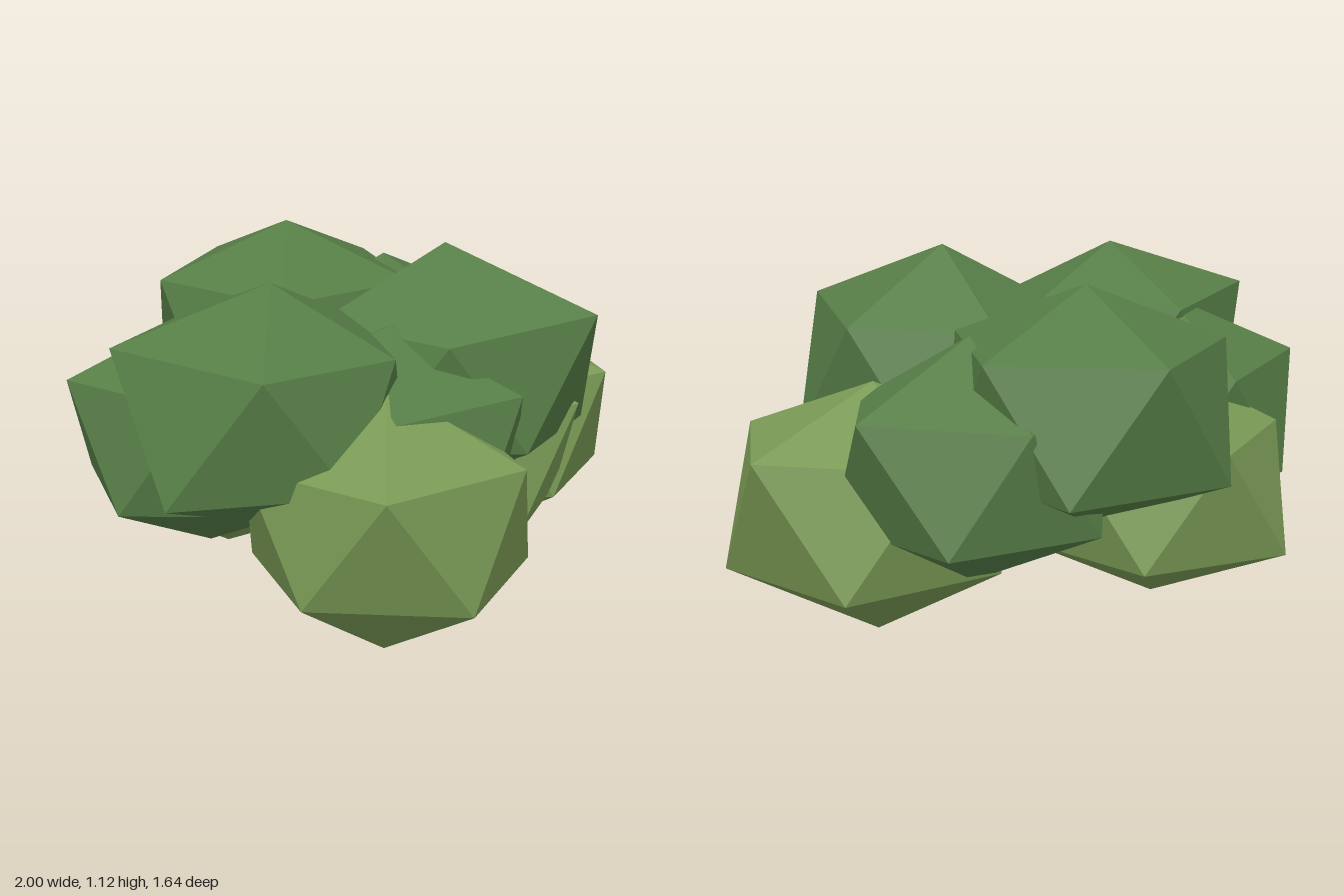
import * as THREE from 'three';

const darkLeaf = new THREE.MeshStandardMaterial({ color: 0x567d46 });
darkLeaf.name = 'dark leaf green';
const lightLeaf = new THREE.MeshStandardMaterial({ color: 0x7a9a55 });
lightLeaf.name = 'light leaf green';

const RING_SLOPE = 0.43; // ring height relative to ring radius

// Irregular twenty-sided clump: two poles and two staggered rings of five corners.
// top, bottom: pole heights; upper, lower: corner radii around each ring.
function clumpGeometry(top, bottom, upper, lower) {
  const points = [0, top, 0];
  const ring = (radii, offset, sign) => radii.forEach((r, i) => {
    const a = THREE.MathUtils.degToRad(i * 72 + offset);
    points.push(r * Math.cos(a), sign * RING_SLOPE * r, r * Math.sin(a));
  });
  ring(upper, 0, 1);
  ring(lower, 36, -1);
  points.push(0, -bottom, 0);

  const faces = [];
  for (let i = 0; i < 5; i++) {
    const n = (i + 1) % 5;
    const u = 1 + i, un = 1 + n, l = 6 + i, ln = 6 + n;
    faces.push(0, un, u, u, un, l, l, un, ln, l, ln, 11);
  }
  const indexed = new THREE.BufferGeometry();
  indexed.setAttribute('position', new THREE.Float32BufferAttribute(points, 3));
  indexed.setIndex(faces);
  const geometry = indexed.toNonIndexed(); // separate corners give flat facets
  geometry.computeVertexNormals();
  return geometry;
}

// Upper rings run 0, 72, 144, 216, 288 degrees; lower rings 36, 108, 180, 252, 324.
const clumps = [
  // crown
  { name: 'crownFront', material: darkLeaf, at: [0.06, 0.727, 0.30], top: 0.39, bottom: 0.38,
    upper: [0.41, 0.47, 0.38, 0.40, 0.38], lower: [0.47, 0.40, 0.40, 0.40, 0.41] },
  { name: 'crownLeft', material: darkLeaf, at: [-0.54, 0.73, 0.11], top: 0.35, bottom: 0.37,
    upper: [0.40, 0.37, 0.40, 0.46, 0.43], lower: [0.40, 0.40, 0.46, 0.41, 0.41] },
  { name: 'crownBack', material: darkLeaf, at: [0.16, 0.73, -0.39], top: 0.355, bottom: 0.37,
    upper: [0.43, 0.425, 0.38, 0.425, 0.44], lower: [0.41, 0.40, 0.41, 0.455, 0.45] },
  // middle
  { name: 'middleRight', material: darkLeaf, at: [0.445, 0.58, -0.20], top: 0.37, bottom: 0.37,
    upper: [0.44, 0.36, 0.40, 0.40, 0.365], lower: [0.40, 0.40, 0.40, 0.415, 0.407] },
  { name: 'middleBackLeft', material: darkLeaf, at: [-0.455, 0.575, -0.21], top: 0.37, bottom: 0.37,
    upper: [0.40, 0.40, 0.40, 0.42, 0.38], lower: [0.40, 0.40, 0.40, 0.40, 0.40] },
  { name: 'middleFront', material: darkLeaf, at: [-0.24, 0.575, 0.31], top: 0.35, bottom: 0.37,
    upper: [0.40, 0.40, 0.38, 0.40, 0.40], lower: [0.40, 0.41, 0.39, 0.40, 0.40] },
  // base
  { name: 'baseRight', material: lightLeaf, at: [0.53, 0.42, 0.12], top: 0.36, bottom: 0.42,
    upper: [0.465, 0.44, 0.42, 0.41, 0.42], lower: [0.455, 0.41, 0.42, 0.42, 0.44] },
  { name: 'baseFrontLeft', material: lightLeaf, at: [-0.43, 0.43, 0.43], top: 0.385, bottom: 0.425,
    upper: [0.41, 0.41, 0.44, 0.41, 0.40], lower: [0.45, 0.41, 0.39, 0.41, 0.41] },
  { name: 'baseBack', material: lightLeaf, at: [-0.165, 0.43, -0.39], top: 0.38, bottom: 0.365,
    upper: [0.41, 0.40, 0.40, 0.395, 0.40], lower: [0.41, 0.40, 0.36, 0.435, 0.41] },
  { name: 'baseFront', material: lightLeaf, at: [0.155, 0.43, 0.235], top: 0.37, bottom: 0.385,
    upper: [0.40, 0.435, 0.40, 0.40, 0.40], lower: [0.40, 0.39, 0.40, 0.40, 0.40] },
];

export function createModel() {
  const bush = new THREE.Group();
  bush.name = 'bush';
  for (const { name, material, at, top, bottom, upper, lower } of clumps) {
    const mesh = new THREE.Mesh(clumpGeometry(top, bottom, upper, lower), material);
    mesh.name = name;
    mesh.position.set(...at);
    bush.add(mesh);
  }
  return bush;
}
